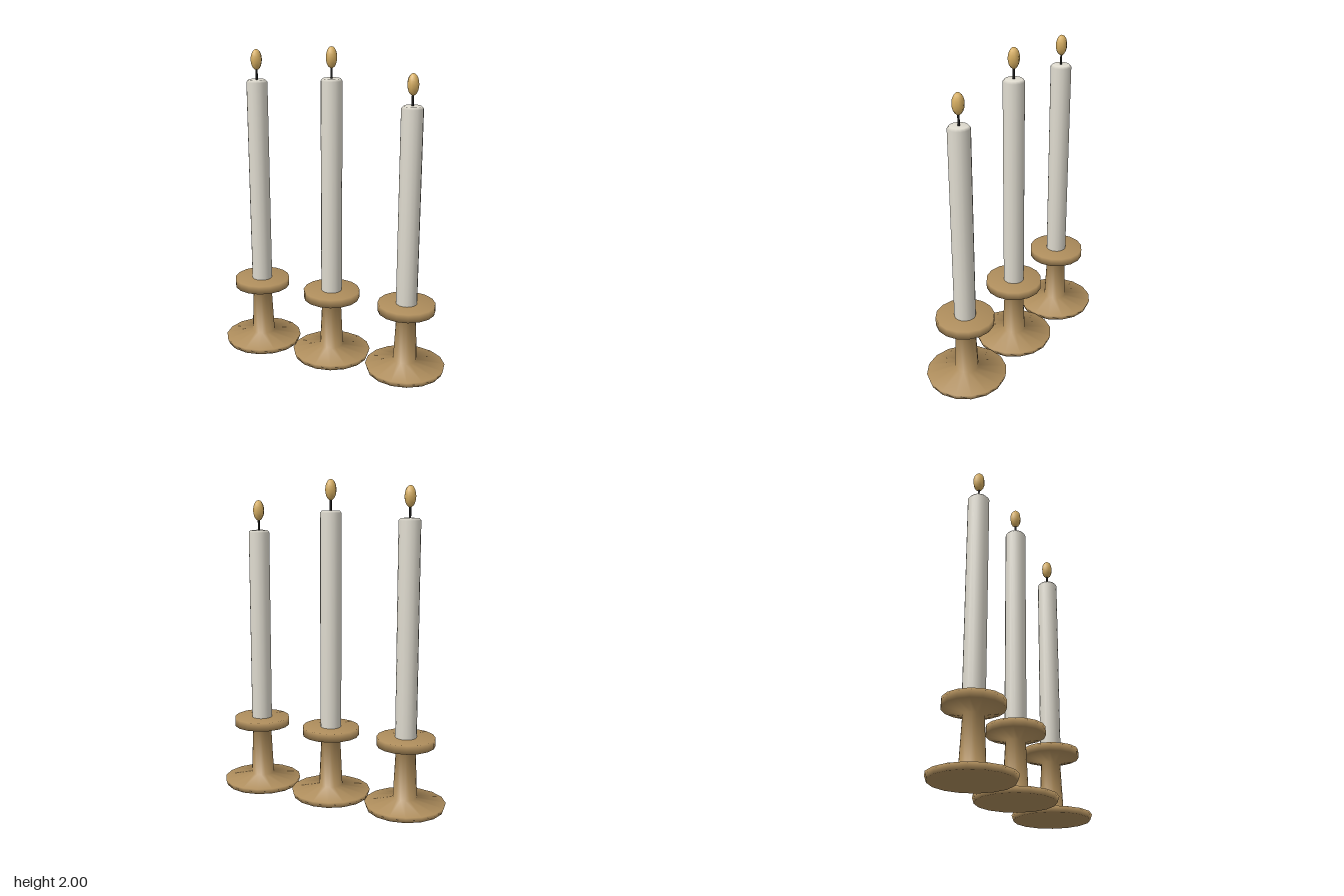
import * as THREE from 'three';

const material = (name, color) => {
  const m = new THREE.MeshStandardMaterial({ color });
  m.name = name;
  return m;
};

// Smooth turned solid from [radius, height] pairs, listed bottom to top
const turned = (profile, sides) =>
  new THREE.LatheGeometry(profile.map(([r, y]) => new THREE.Vector2(r, y)), sides);

export function createModel() {
  const brass = material('brass', 0xae8d5c);
  const wax = material('wax', 0xe0dcd0);
  const black = material('wickBlack', 0x1a1918);
  const gold = material('flameGold', 0xd6ae62);

  const model = new THREE.Group();
  model.name = 'candleTrio';

  const add = (group, name, geometry, mat, y = 0) => {
    const mesh = new THREE.Mesh(geometry, mat);
    mesh.name = name;
    mesh.position.y = y;
    group.add(mesh);
    return mesh;
  };

  // Foot, tapering stem and drip dish in one profile
  const holder = turned([
    [0, 0], [0.24, 0], [0.252, 0.036], [0.075, 0.07],
    [0.061, 0.365], [0.18, 0.402], [0.18, 0.455], [0, 0.455],
  ], 16);
  const dishTop = 0.455;

  // Position along x and height of the wax top
  const candles = [['left', 0.512, 1.684], ['middle', 0, 1.812], ['right', -0.512, 1.774]];
  for (const [side, x, top] of candles) {
    const group = new THREE.Group();
    group.name = `${side}Candlestick`;
    group.position.x = x;
    model.add(group);

    add(group, 'holder', holder, brass);

    // Candle with a softened top edge
    add(group, 'candle', turned([
      [0, dishTop], [0.066, dishTop], [0.066, top - 0.014], [0.054, top], [0, top],
    ], 16), wax);

    add(group, 'wick', new THREE.CylinderGeometry(0.007, 0.007, 0.1, 6), black, top + 0.04);

    // Slender egg-shaped flame
    const flame = add(group, 'flame', new THREE.SphereGeometry(1, 8, 10), gold, top + 0.124);
    flame.scale.set(0.036, 0.064, 0.036);
  }
  return model;
}
